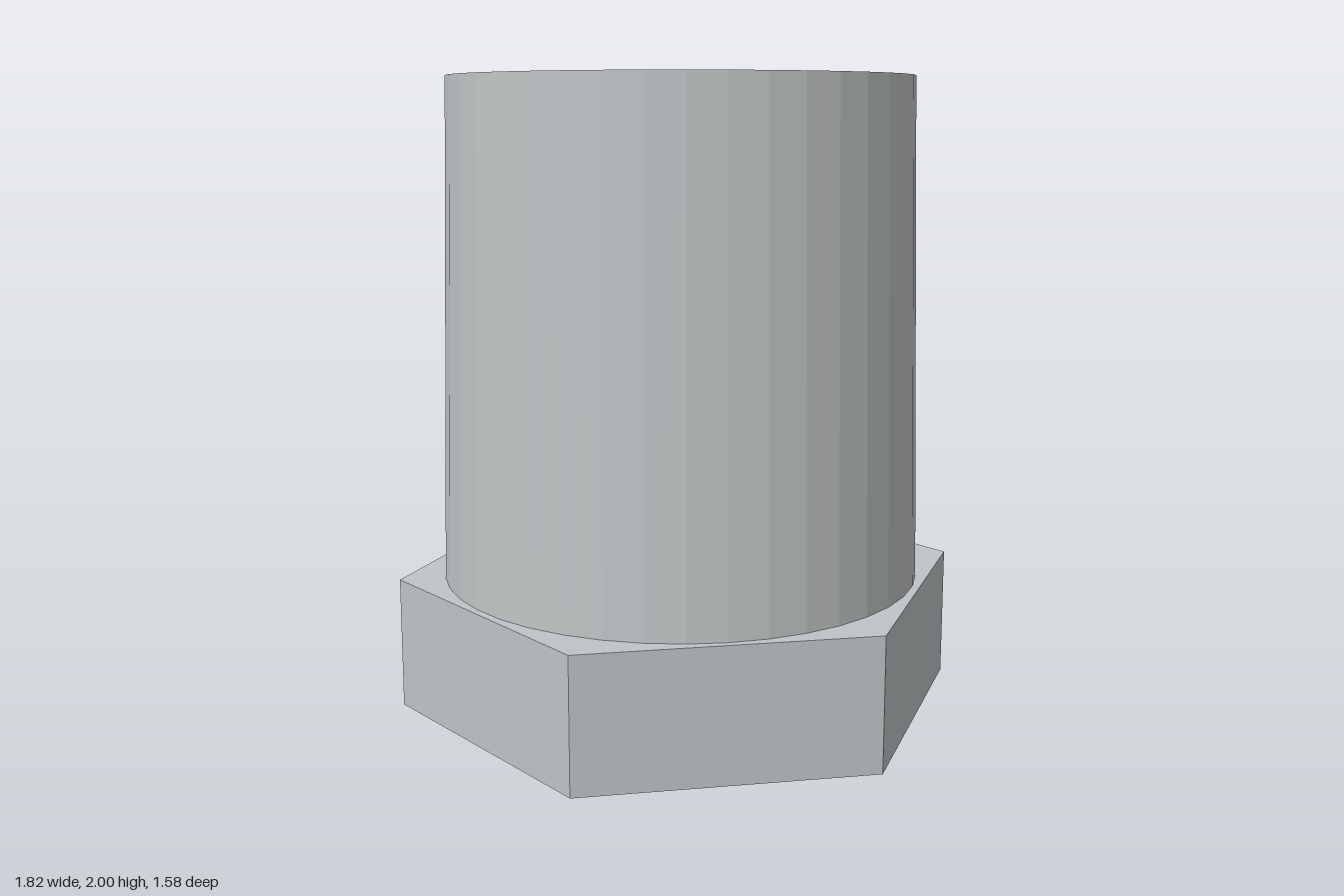
import * as THREE from 'three';

export function createModel() {
  const group = new THREE.Group();
  group.name = 'hexPlug';

  const steel = new THREE.MeshStandardMaterial({ color: 0xc0c4c6, flatShading: true });
  steel.name = 'steel grey';

  const HEAD_HEIGHT = 0.42;
  const TOTAL_HEIGHT = 2;

  // Upright prism or cone section between two heights
  function addPrism(name, topRadius, bottomRadius, y0, y1, sides, start) {
    const geometry = new THREE.CylinderGeometry(
      topRadius, bottomRadius, y1 - y0, sides, 1, false, start);
    const mesh = new THREE.Mesh(geometry, steel);
    mesh.name = name;
    mesh.position.y = (y0 + y1) / 2;
    group.add(mesh);
  }

  // Hexagonal head with corners on the x axis
  addPrism('hexHead', 0.91, 0.91, 0, HEAD_HEIGHT, 6, Math.PI / 2);

  // Tapered shaft, slightly narrower at the top
  addPrism('taperedShaft', 0.726, 0.765, HEAD_HEIGHT, TOTAL_HEIGHT, 40, 0);

  return group;
}
